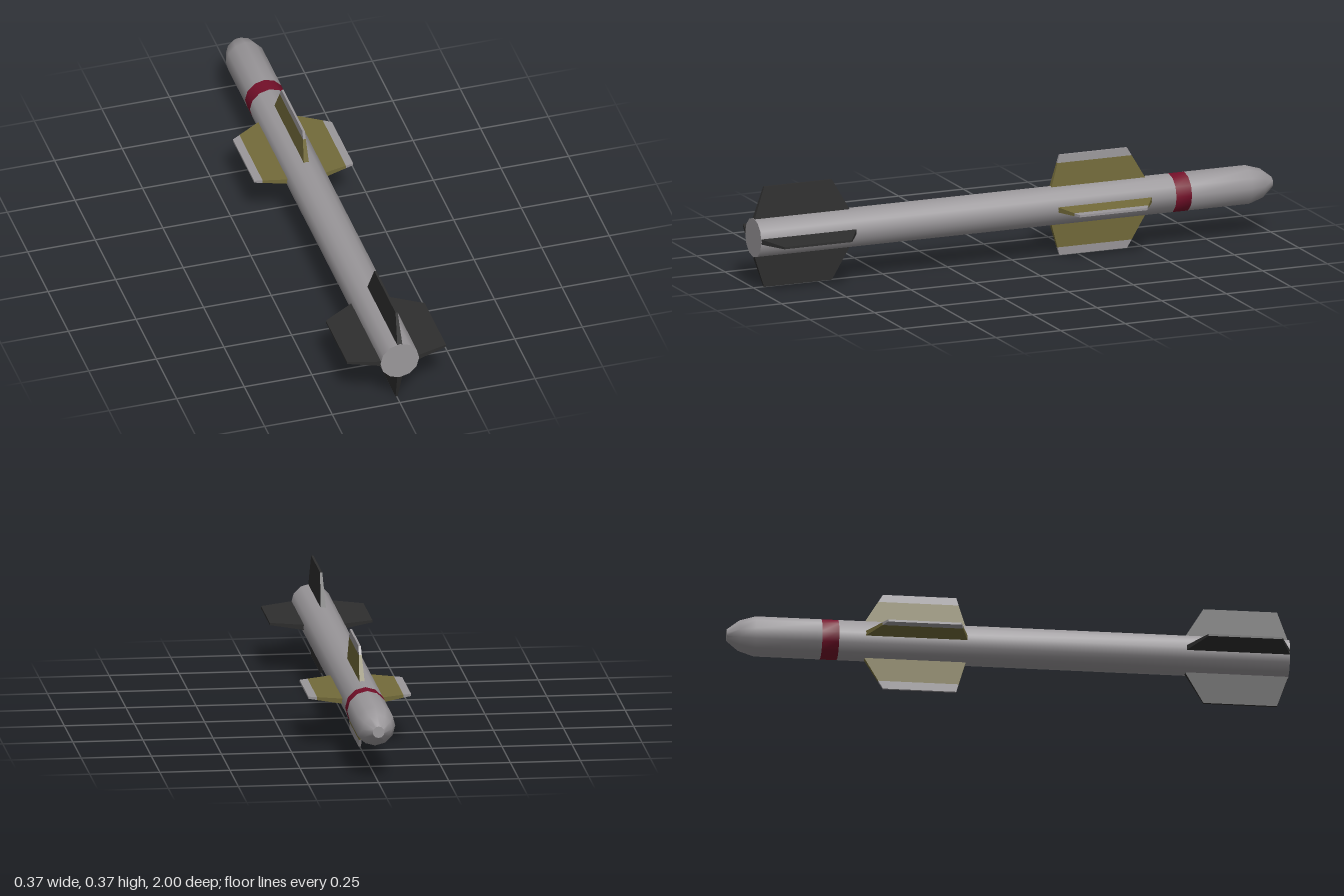
import * as THREE from 'three';
import { toCreasedNormals } from 'three/addons/utils/BufferGeometryUtils.js';

const material = (name, color) => new THREE.MeshStandardMaterial({ name, color });

const AXIS_Y = 0.183;   // height of the body axis
const RADIUS = 0.0715;  // body radius
const TIP = 0.183;      // fin reach from the axis
const ROOT = 0.066;     // fin start, just under the skin

// Turned section along z; profile is [radius, forward distance], tail to nose
function turned(name, profile, mat) {
  const points = profile.map(([r, d]) => new THREE.Vector2(r, d));
  const geometry = new THREE.LatheGeometry(points, 12).rotateX(-Math.PI / 2);
  const mesh = new THREE.Mesh(toCreasedNormals(geometry, 0.8), mat);
  mesh.name = name;
  return mesh;
}

// Tapered fin panel between radii r0 and r1, cut from a full fin outline
function finPanel(name, outline, r0, r1, mat) {
  const geometry = new THREE.BoxGeometry(1, 1, 1);
  const p = geometry.attributes.position;
  for (let i = 0; i < p.count; i++) {
    const r = p.getY(i) < 0 ? r0 : r1;
    const t = (r - ROOT) / (TIP - ROOT);
    const [rootZ, tipZ] = p.getZ(i) < 0 ? outline.front : outline.rear;
    const half = THREE.MathUtils.lerp(0.0095, 0.004, t);
    p.setXYZ(i, Math.sign(p.getX(i)) * half, r, THREE.MathUtils.lerp(rootZ, tipZ, t));
  }
  geometry.computeVertexNormals();
  const mesh = new THREE.Mesh(geometry, mat);
  mesh.name = name;
  return mesh;
}

export function createModel() {
  const grey = material('bodyGrey', 0x9a979a);
  const red = material('bandRed', 0x740f29);
  const olive = material('finOlive', 0x736b3a);
  const black = material('finBlack', 0x2e2e2e);

  const model = new THREE.Group();
  model.name = 'missile';
  const body = new THREE.Group();
  body.name = 'body';
  body.position.y = AXIS_Y;
  model.add(body);

  // Tube, painted band and blunt nose
  body.add(
    turned('tube', [[0, -1], [RADIUS, -1], [RADIUS, 0.605]], grey),
    turned('band', [[RADIUS, 0.605], [RADIUS, 0.665]], red),
    turned('nose', [[RADIUS, 0.665], [RADIUS, 0.9], [0.054, 0.957], [0.021, 1], [0, 1]], grey)
  );

  // Four middle fins with pale tips and four tail fins
  const middle = { front: [-0.512, -0.443], rear: [-0.148, -0.182] };
  const tail = { front: [0.63, 0.698], rear: [1, 0.96] };
  for (let i = 0; i < 4; i++) {
    const fins = new THREE.Group();
    fins.name = `fins${i + 1}`;
    fins.rotation.z = i * Math.PI / 2;
    fins.add(
      finPanel('middleFin', middle, ROOT, 0.154, olive),
      finPanel('middleFinTip', middle, 0.154, TIP, grey),
      finPanel('tailFin', tail, ROOT, TIP, black)
    );
    body.add(fins);
  }
  return model;
}
